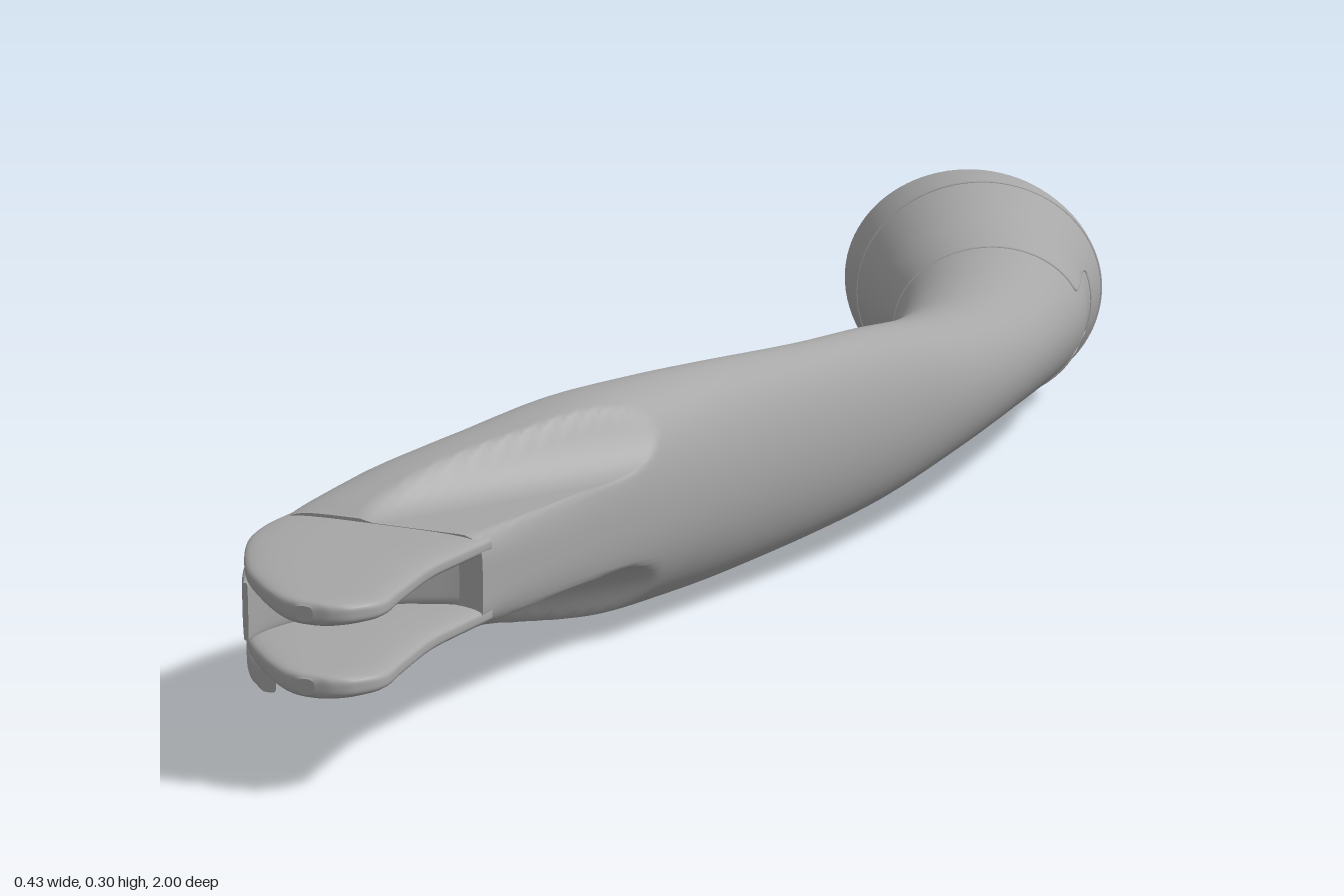
import * as THREE from 'three';

const grey = new THREE.MeshStandardMaterial({ color: 0xa6a6a6 });
grey.name = 'satin grey';

const clamp01 = v => Math.min(1, Math.max(0, v));
const MID = 0.15; // height of the handle's centre plane

// Stations are [leftX, leftZ, rightX, rightZ, halfHeight, squareness], from back to front.
// Returns a function giving the surface point at (t along, angle a around).
function sweepSurface(stations, cy, limit) {
  const curve = f => new THREE.CatmullRomCurve3(stations.map(f), false, 'catmullrom', 0.5);
  const left = curve(s => new THREE.Vector3(s[0], 0, s[1]));
  const right = curve(s => new THREE.Vector3(s[2], 0, s[3]));
  const size = curve(s => new THREE.Vector3(s[4], s[5], 0));
  return (t, a) => {
    const L = left.getPoint(t), R = right.getPoint(t), { x: h, y: p } = size.getPoint(t);
    const c = Math.cos(a), s = Math.sin(a);
    const r = Math.pow(Math.abs(c) ** p + Math.abs(s) ** p, -1 / p);
    const point = L.lerp(R, 0.5 + 0.5 * r * c);
    let y = h * r * s;
    if (limit) {
      const m = limit(point.x, point.z);
      y = Math.max(-m, Math.min(m, y));
    }
    point.y = cy + y;
    return point;
  };
}

// Skins a swept surface with rings and closes both ends
function sweepGeometry(surface, rings, sides) {
  const pos = [], index = [];
  const ring = t => {
    const start = pos.length / 3;
    for (let j = 0; j < sides; j++) pos.push(...surface(t, (j / sides) * Math.PI * 2).toArray());
    return start;
  };
  for (let i = 0; i <= rings; i++) ring(i / rings);
  for (let i = 0; i < rings; i++) {
    for (let j = 0; j < sides; j++) {
      const k = (j + 1) % sides;
      const a = i * sides + j, b = i * sides + k, c = a + sides, d = b + sides;
      index.push(a, b, c, b, d, c);
    }
  }
  for (const t of [0, 1]) {
    const start = ring(t), centre = pos.length / 3;
    pos.push(...surface(t, 0).add(surface(t, Math.PI)).multiplyScalar(0.5).toArray());
    for (let j = 0; j < sides; j++) {
      const a = start + j, b = start + (j + 1) % sides;
      index.push(centre, t ? a : b, t ? b : a);
    }
  }
  const g = new THREE.BufferGeometry();
  g.setAttribute('position', new THREE.Float32BufferAttribute(pos, 3));
  g.setIndex(index);
  g.computeVertexNormals();
  return g;
}

export function createModel() {
  const model = new THREE.Group();
  model.name = 'curvedLever';
  const add = (name, geometry, parent = model) => {
    const mesh = new THREE.Mesh(geometry, grey);
    mesh.name = name;
    parent.add(mesh);
  };

  // Handle: domed head, slim neck, swelling grip and flattened front
  const stations = [
    [-0.093, -0.985, -0.093, -0.985, 0, 2],
    [-0.155, -0.94, -0.01, -1, 0.075, 2],
    [-0.2, -0.89, 0.035, -0.995, 0.117, 2],
    [-0.217, -0.84, 0.075, -0.97, 0.14, 2],
    [-0.195, -0.785, 0.108, -0.925, 0.15, 2],
    [-0.155, -0.73, 0.13, -0.885, 0.146, 2],
    [-0.095, -0.65, 0.15, -0.79, 0.125, 2],
    [-0.03, -0.565, 0.18, -0.69, 0.1, 2],
    [0.03, -0.4, 0.208, -0.49, 0.083, 2],
    [0.055, -0.25, 0.215, -0.3, 0.088, 2],
    [0.06, -0.1, 0.198, -0.13, 0.105, 2],
    [0.045, 0.03, 0.174, 0.03, 0.114, 2],
    [-0.005, 0.2, 0.143, 0.2, 0.124, 2],
    [-0.045, 0.3, 0.125, 0.3, 0.126, 2.1],
    [-0.085, 0.4, 0.107, 0.4, 0.123, 2.3],
    [-0.12, 0.5, 0.09, 0.5, 0.107, 2.6],
    [-0.152, 0.6, 0.079, 0.6, 0.09, 3],
    [-0.168, 0.68, 0.072, 0.68, 0.068, 4],
    [-0.17, 0.72, 0.07, 0.72, 0.053, 6],
  ];
  const last = stations.length - 1;
  // Diagonal scoop above and below, with a concave wall
  const scoop = (x, z) => {
    const edge = 0.13 - 0.29 * (z - 0.26) / 0.52;
    const t = Math.max(0, (edge + 0.07 - x) / 0.07);
    return 0.05 + 0.075 * t * t;
  };
  const handle = sweepSurface(stations, MID, scoop);
  add('handle', sweepGeometry(handle, 180, 96));

  // Forked tip: two plates with an open slot between them
  const plate = [
    [-0.17, 0.7, 0.07, 0.7, 0.0125, 4],
    [-0.168, 0.76, 0.067, 0.76, 0.0125, 4],
    [-0.15, 0.82, 0.066, 0.82, 0.0125, 4],
    [-0.102, 0.9, 0.078, 0.9, 0.0125, 4],
    [-0.056, 0.95, 0.086, 0.95, 0.0125, 4],
    [-0.022, 0.98, 0.072, 0.98, 0.0125, 4],
    [-0.002, 0.994, 0.055, 0.994, 0.012, 3],
    [0.015, 1, 0.035, 1, 0.008, 3],
  ];
  for (const [name, y] of [['upperPlate', 0.187], ['lowerPlate', 0.113]]) {
    add(name, sweepGeometry(sweepSurface(plate, y), 48, 48));
  }

  // Wall closing the slot on the left, hollowed towards the right
  const wall = [
    [-0.169, 0.71, 0.068, 0.71, 0.03, 8],
    [-0.169, 0.73, 0.02, 0.73, 0.03, 8],
    [-0.165, 0.76, -0.03, 0.76, 0.03, 8],
    [-0.15, 0.82, -0.066, 0.82, 0.03, 8],
    [-0.125, 0.87, -0.085, 0.87, 0.03, 8],
    [-0.1, 0.91, -0.094, 0.91, 0.03, 8],
  ];
  add('slotWall', sweepGeometry(sweepSurface(wall, MID), 30, 48));

  // Thin rail under the left edge of the lower plate
  const rail = [
    [-0.16, 0.68, -0.145, 0.68, 0.011, 5],
    [-0.168, 0.76, -0.148, 0.76, 0.013, 5],
    [-0.15, 0.82, -0.127, 0.82, 0.013, 5],
    [-0.102, 0.9, -0.078, 0.9, 0.013, 5],
    [-0.064, 0.94, -0.045, 0.94, 0.013, 5],
  ];
  add('lowerRail', sweepGeometry(sweepSurface(rail, 0.093), 30, 24));

  // Closed rib laid on the handle, given [station, angle] pairs
  const rib = (name, path, radius, parent) => {
    const pts = path.map(([s, a]) => handle(s / last, a));
    const curve = new THREE.CatmullRomCurve3(pts, true);
    add(name, new THREE.TubeGeometry(curve, pts.length * 2, radius, 6, true), parent);
  };
  const around = (n, f) => Array.from({ length: n }, (_, i) => {
    const a = (i / n) * Math.PI * 2;
    return [f(a), a];
  });

  // Seams of the collar, the lower one with a tab on the left
  rib('headSeam', around(72, () => 5), 0.002, model);
  rib('collarSeam', around(120, a => {
    const off = Math.abs(Math.atan2(Math.sin(a), Math.cos(a)));
    return 7 - 1.15 * clamp01((0.42 - off) / 0.06);
  }), 0.002, model);

  // Raised geometric grip pattern on the head
  const pattern = new THREE.Group();
  pattern.name = 'headPattern';
  model.add(pattern);
  const sixth = Math.PI / 3;
  for (const size of [1.05, 1.3]) {
    rib('hexagonRib', around(72, a => size * Math.cos(sixth / 2) / Math.cos((a % sixth) - sixth / 2)), 0.0035, pattern);
  }
  for (let k = 0; k < 6; k++) {
    const path = [];
    for (let i = -6; i <= 6; i++) path.push([1.85 + 0.5 * Math.abs(i) / 6, k * sixth + i * 0.06]);
    for (let i = 6; i >= -6; i--) path.push([2.3 + 0.5 * Math.abs(i) / 6, k * sixth + i * 0.06]);
    rib('chevronRib', path, 0.0035, pattern);
  }
  return model;
}
